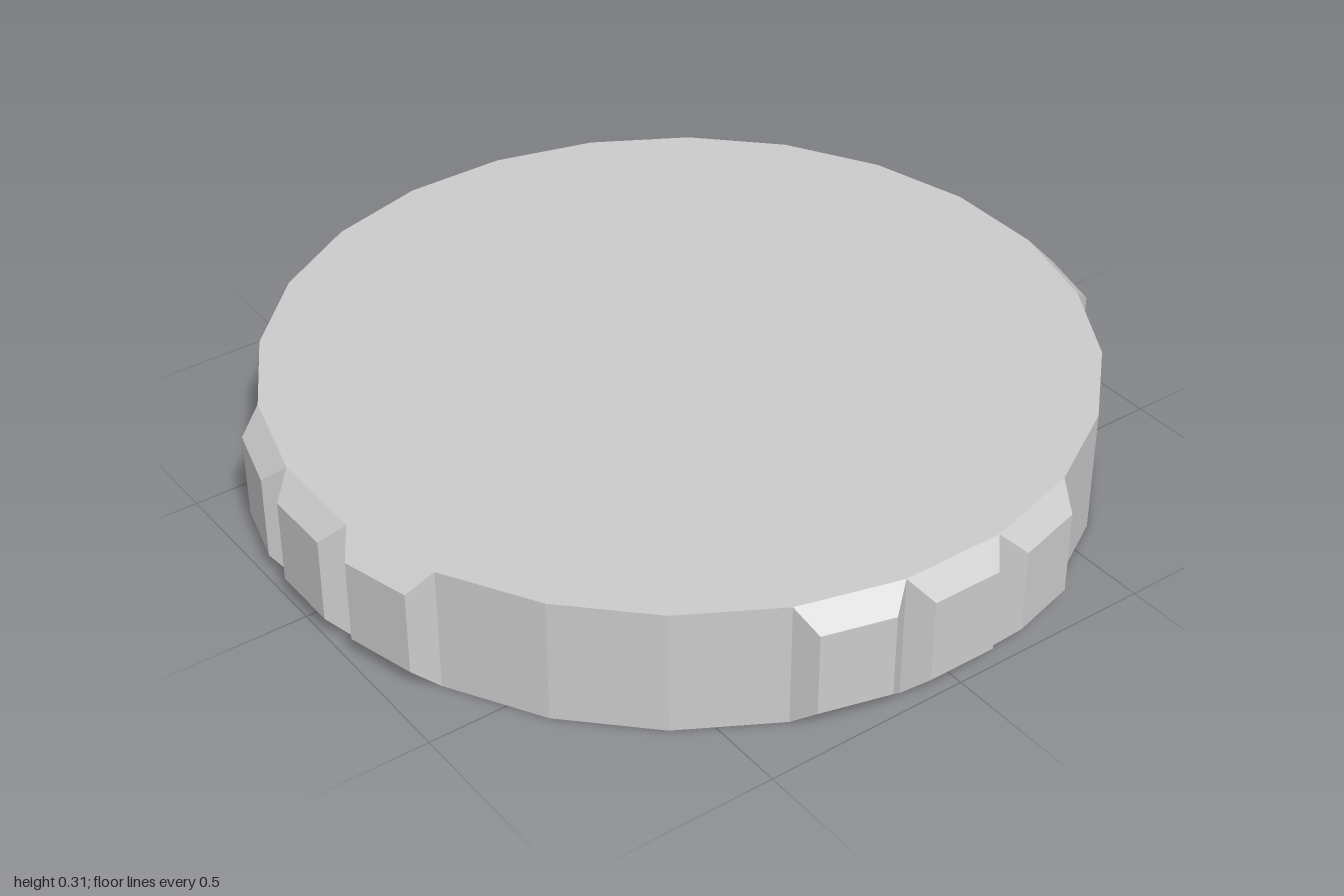
import * as THREE from 'three';

const SIDES = 24;
const HEIGHT = 0.305;
const STEP = (Math.PI * 2) / SIDES;
const APOTHEM = 0.95; // centre to the middle of a rim facet
const RADIUS = APOTHEM / Math.cos(STEP / 2);
const FACET = 2 * RADIUS * Math.sin(STEP / 2);

// Block covering one rim facet, tapering to a smaller outer face
function taperedBlock() {
  const depth = 0.05;
  const geo = new THREE.BoxGeometry(FACET, HEIGHT, depth);
  const p = geo.attributes.position;
  for (let i = 0; i < p.count; i++) {
    if (p.getZ(i) > 0) {
      p.setX(i, Math.sign(p.getX(i)) * 0.085);
      p.setY(i, Math.sign(p.getY(i)) * 0.1025);
    }
  }
  geo.translate(0, HEIGHT / 2, APOTHEM + depth / 2);
  geo.computeVertexNormals();
  return geo;
}

export function createModel() {
  const group = new THREE.Group();
  group.name = 'notchedDisc';
  const material = new THREE.MeshStandardMaterial({ color: 0xcccccc, flatShading: true });

  // Disc with a facet squarely facing each axis
  const disc = new THREE.Mesh(
    new THREE.CylinderGeometry(RADIUS, RADIUS, HEIGHT, SIDES, 1, false, STEP / 2),
    material
  );
  disc.name = 'disc';
  disc.position.y = HEIGHT / 2;
  group.add(disc);

  // Three neighbouring rim blocks on each of the four sides
  const blockGeo = taperedBlock();
  for (let side = 0; side < 4; side++) {
    for (let k = -1; k <= 1; k++) {
      const block = new THREE.Mesh(blockGeo, material);
      block.name = 'rimBlock';
      block.rotation.y = (side * Math.PI) / 2 + k * STEP;
      group.add(block);
    }
  }
  return group;
}
